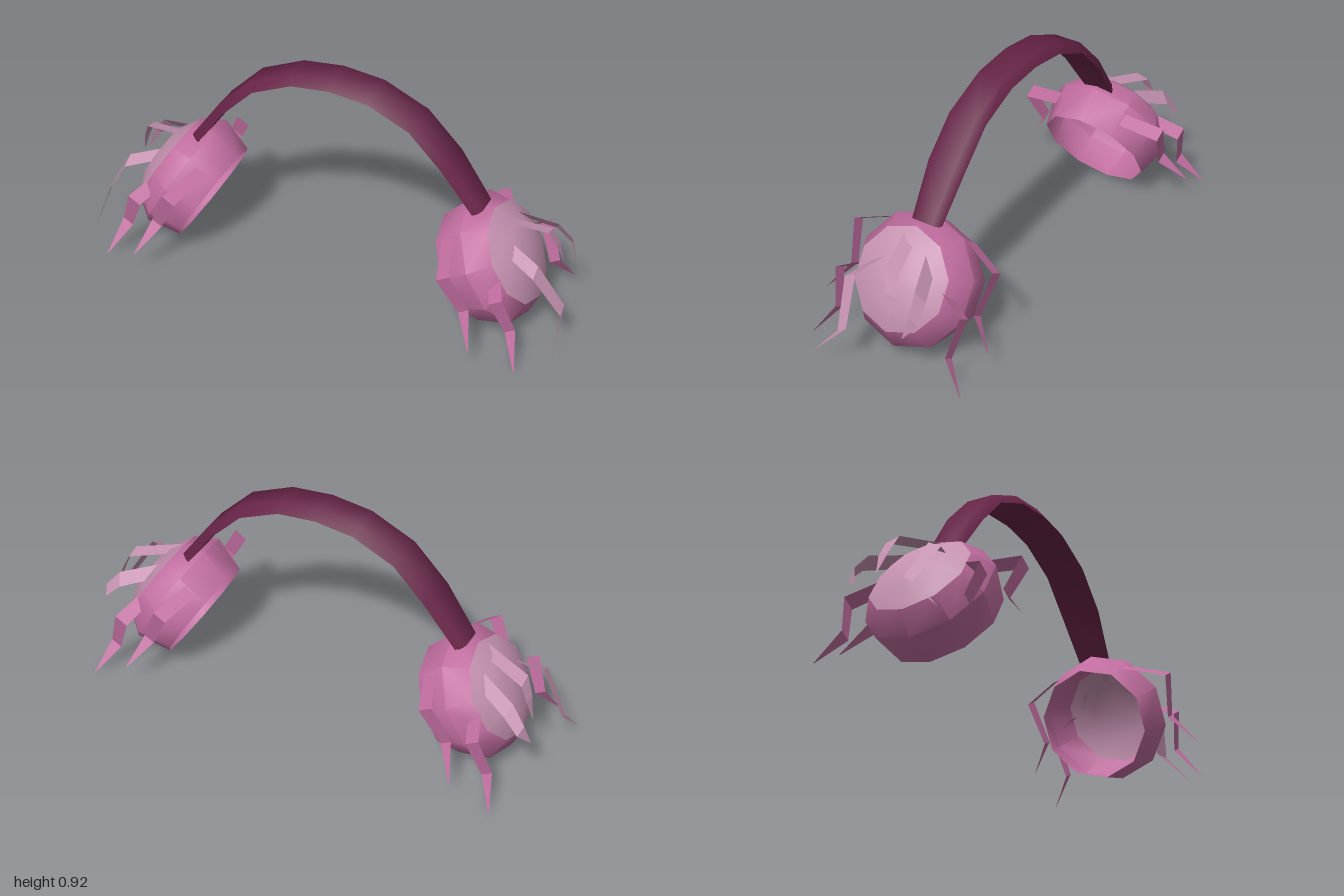
import * as THREE from 'three';
import { toCreasedNormals } from 'three/addons/utils/BufferGeometryUtils.js';

const material = (name, color) =>
  new THREE.MeshStandardMaterial({ name, color, side: THREE.DoubleSide });
const V = (x, y, z) => new THREE.Vector3(x, y, z);

const MID_Z = -0.015;
const AXIS = V(0.861, 0.508, 0); // outward axis of the ear cup

// Builds a flat-faced geometry from quads given as four corner vectors
function fromQuads(quads) {
  const pos = [];
  for (const [a, b, c, d] of quads)
    for (const p of [a, b, c, a, c, d]) pos.push(p.x, p.y, p.z);
  const g = new THREE.BufferGeometry();
  g.setAttribute('position', new THREE.Float32BufferAttribute(pos, 3));
  return g;
}

// Headband: trapezoid section swept over an arch
function bandGeometry() {
  const half = [[0, 0.906, 0.083], [0.165, 0.888, 0.083], [0.34, 0.81, 0.083],
    [0.478, 0.67, 0.083], [0.608, 0.488, 0.066]];
  const path = [...half.slice(1).reverse().map(([x, y, w]) => [-x, y, w]), ...half];
  const rings = path.map(([x, y, w], i) => {
    const a = path[Math.max(i - 1, 0)], b = path[Math.min(i + 1, path.length - 1)];
    const n = V(a[1] - b[1], b[0] - a[0], 0).normalize().multiplyScalar(0.019);
    const at = (s, z) => V(x + s * n.x, y + s * n.y, MID_Z + z);
    return [at(-1, w), at(1, w * 0.68), at(1, -w * 0.68), at(-1, -w)];
  });
  const quads = [];
  for (let i = 0; i < rings.length - 1; i++)
    for (let j = 0; j < 4; j++) {
      const k = (j + 1) % 4;
      quads.push([rings[i][j], rings[i + 1][j], rings[i + 1][k], rings[i][k]]);
    }
  const last = rings[rings.length - 1];
  quads.push(rings[0], [...last].reverse());
  return toCreasedNormals(fromQuads(quads), 1.1);
}

// Leg: a folded ribbon through root, elbow, knee and a pointed tip
function legGeometry(points, across) {
  const widths = [0.055, 0.06, 0.048, 0.002];
  const edge = points.map((p, i) => {
    const w = across.clone().normalize().multiplyScalar(widths[i] / 2);
    return [V(...p).sub(w), V(...p).add(w)];
  });
  return fromQuads([0, 1, 2].map((i) =>
    [edge[i][0], edge[i][1], edge[i + 1][1], edge[i + 1][0]]));
}

// Radius and height along the axis for the hollow cup and its domed outer face
const toProfile = (pts) => pts.map(([r, t]) => new THREE.Vector2(r, t));
const wallProfile = toProfile([[0.226, 0], [0.263, 0.14], [0.205, 0.225]]);
const faceProfile = toProfile([[0.205, 0.225], [0.12, 0.27], [0, 0.28]]);

const sideLegs = [
  ['upperFrontLeg', [[0.53, 0.415, 0.14], [0.583, 0.366, 0.32], [0.66, 0.215, 0.287], [0.72, 0.102, 0.38]]],
  ['lowerFrontLeg', [[0.73, 0.315, 0.16], [0.775, 0.275, 0.262], [0.83, 0.136, 0.231], [0.885, 0.015, 0.32]]],
  ['upperBackLeg', [[0.53, 0.415, -0.17], [0.583, 0.366, -0.32], [0.66, 0.207, -0.287], [0.72, 0.102, -0.38]]],
  ['lowerBackLeg', [[0.73, 0.325, -0.19], [0.775, 0.272, -0.31], [0.83, 0.115, -0.278], [0.885, 0.005, -0.37]]],
];
const faceLegs = [
  ['outerFrontLeg', [[0.7, 0.405, 0.05], [0.88, 0.355, 0.125], [0.985, 0.185, 0.09], [0.999, 0.047, 0.218]], V(0, 0.5, -0.86)],
  ['outerMiddleLeg', [[0.67, 0.47, 0], [0.87, 0.425, -0.06], [0.9, 0.36, -0.075], [0.925, 0.275, -0.087]], V(0, 0.25, 1)],
  ['outerBackLeg', [[0.71, 0.42, -0.12], [0.86, 0.365, -0.18], [0.92, 0.3, -0.195], [0.95, 0.23, -0.16]], V(0.3, 0.75, 0.6)],
];

export function createModel() {
  const plum = material('dark plum', 0x672447);
  const pink = material('orchid pink', 0xc06d9f);
  const pale = material('pale mauve', 0xc491af);
  const model = new THREE.Group();
  model.name = 'spiderHeadphones';

  const add = (parent, name, geometry, mat) => {
    const mesh = new THREE.Mesh(geometry, mat);
    mesh.name = name;
    parent.add(mesh);
  };
  add(model, 'headband', bandGeometry(), plum);

  // Stands the cup on its tilted axis
  const place = new THREE.Matrix4()
    .makeBasis(V(0, 0, 1), AXIS, V(-AXIS.y, AXIS.x, 0))
    .setPosition(0.565, 0.206, MID_Z);

  for (const [side, s] of [['left', 1], ['right', -1]]) {
    const ear = new THREE.Group();
    ear.name = side + 'Earpiece';
    model.add(ear);
    const finish = (g, crease) => {
      const m = (g.index ? g.toNonIndexed() : g).scale(s, 1, 1);
      m.computeVertexNormals();
      return crease ? toCreasedNormals(m, crease) : m;
    };
    const turned = (profile) =>
      finish(new THREE.LatheGeometry(profile, 10).applyMatrix4(place), 1);

    // Ten-sided cup wall and its outer face
    add(ear, 'cupWall', turned(wallProfile), pink);
    add(ear, 'cupFace', turned(faceProfile), pale);

    // Seven bent legs
    for (const [name, pts] of sideLegs) add(ear, name, finish(legGeometry(pts, AXIS)), pink);
    for (const [name, pts, across] of faceLegs) add(ear, name, finish(legGeometry(pts, across)), pale);
  }
  return model;
}
